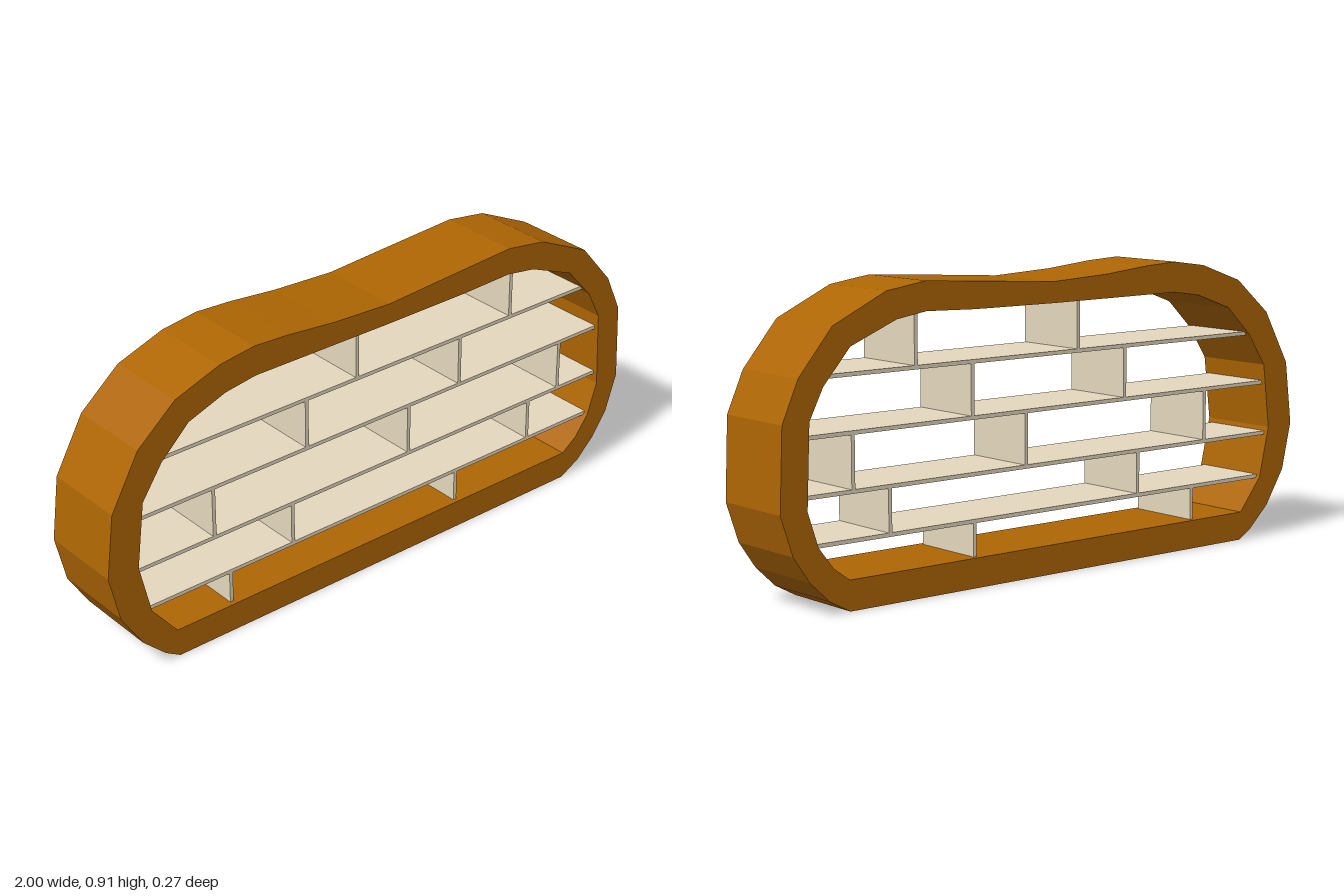
import * as THREE from 'three';

const DEPTH = 0.27;
const BOARD = 0.012;
const BOARD_DEPTH = 0.24;

// Rim outlines, clockwise from the lower left corner
const OUTER = [
  [-0.77, 0], [-0.82, 0.03], [-0.895, 0.1], [-0.965, 0.21], [-1, 0.36], [-0.975, 0.56],
  [-0.88, 0.73], [-0.75, 0.84], [-0.595, 0.895], [-0.475, 0.912], [-0.355, 0.906],
  [-0.19, 0.89], [0.02, 0.88], [0.22, 0.893], [0.495, 0.91], [0.635, 0.89],
  [0.82, 0.805], [0.935, 0.67], [0.99, 0.547], [1, 0.3], [0.96, 0.18],
  [0.905, 0.1], [0.84, 0.038], [0.77, 0],
];
const INNER = [
  [-0.775, 0.09], [-0.86, 0.195], [-0.897, 0.355], [-0.872, 0.56], [-0.803, 0.663],
  [-0.707, 0.755], [-0.577, 0.802], [-0.472, 0.818], [0.02, 0.816], [0.32, 0.818],
  [0.495, 0.824], [0.6, 0.808], [0.76, 0.744], [0.853, 0.64], [0.9, 0.548],
  [0.91, 0.3], [0.875, 0.195], [0.825, 0.13], [0.77, 0.09],
];

// Shelves: height, left end, right end (ends sink slightly into the rim)
const SHELVES = [
  [0.196, -0.87, 0.885], [0.335, -0.907, 0.918],
  [0.501, -0.892, 0.912], [0.665, -0.815, 0.85],
];

// Divider positions in each row, bottom to top
const DIVIDERS = [
  [-0.568, 0.311], [-0.336, 0.617], [-0.621, 0.114, 0.744], [-0.279, 0.317], [-0.089, 0.522],
];

const toPoints = (list) => list.map(([x, y]) => new THREE.Vector2(x, y));

export function createModel() {
  const model = new THREE.Group();
  model.name = 'wallShelf';
  const wood = new THREE.MeshStandardMaterial({ name: 'warm wood', color: 0xae6603 });
  const cream = new THREE.MeshStandardMaterial({ name: 'cream board', color: 0xe5d8be });

  // Faceted rim, with the opening wound against the outline so its wall faces inwards
  const shape = new THREE.Shape(toPoints(OUTER));
  shape.holes.push(new THREE.Path(toPoints(INNER).reverse()));
  const rimGeometry = new THREE.ExtrudeGeometry(shape, { depth: DEPTH, bevelEnabled: false });
  rimGeometry.translate(0, 0, -DEPTH / 2);
  const rim = new THREE.Mesh(rimGeometry, wood);
  rim.name = 'rim';
  model.add(rim);

  // Thin boards, set back a little from both rim edges
  const addBoard = (name, width, height, x, y) => {
    const board = new THREE.Mesh(new THREE.BoxGeometry(width, height, BOARD_DEPTH), cream);
    board.name = name;
    board.position.set(x, y, 0);
    model.add(board);
  };

  // Horizontal shelves
  SHELVES.forEach(([y, left, right], i) => {
    addBoard(`shelf${i + 1}`, right - left, BOARD, (left + right) / 2, y);
  });

  // Upright dividers between shelves, the lowest and highest meeting the rim
  const levels = [0.085, ...SHELVES.map((s) => s[0]), 0.83];
  DIVIDERS.forEach((row, i) => {
    const height = levels[i + 1] - levels[i] - BOARD * 0.9;
    const middle = (levels[i] + levels[i + 1]) / 2;
    row.forEach((x, j) => addBoard(`divider${i + 1}_${j + 1}`, BOARD, height, x, middle));
  });

  return model;
}
